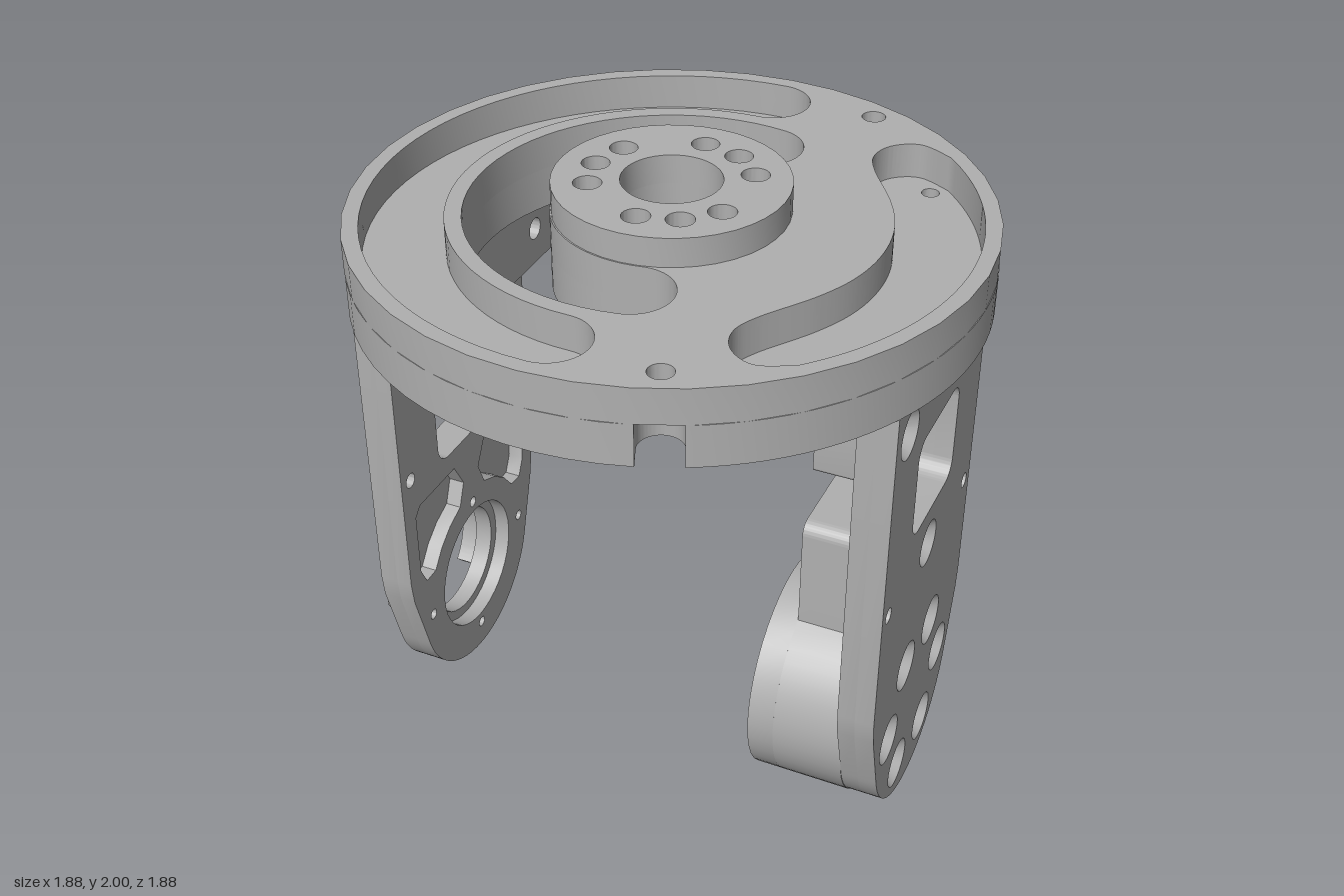
import * as THREE from 'three';
import { toCreasedNormals } from 'three/addons/utils/BufferGeometryUtils.js';

const grey = new THREE.MeshStandardMaterial({ color: 0xb0b0b0, side: THREE.DoubleSide });
grey.name = 'machined grey';
const PI = Math.PI;
const AXLE = 0.36; // height of the swivel axis

const V = (x, y) => new THREE.Vector2(x, y);
const circle = (x, y, r) => new THREE.Path().absarc(x, y, r, 0, PI * 2, false);
const shapeOf = (path) => new THREE.Shape(path.getPoints(20));
const ring = (n, r, cx, cy, start) => Array.from({ length: n }, (_, i) => {
  const a = start + (i * PI * 2) / n;
  return [cx + r * Math.cos(a), cy + r * Math.sin(a)];
});
const drill = (shape, centres, r) => centres.forEach(([x, y]) => shape.holes.push(circle(x, y, r)));

function roundedRect(x0, y0, x1, y1, r) {
  const p = new THREE.Path();
  p.absarc(x1 - r, y1 - r, r, 0, PI / 2, false);
  p.absarc(x0 + r, y1 - r, r, PI / 2, PI, false);
  p.absarc(x0 + r, y0 + r, r, PI, PI * 1.5, false);
  p.absarc(x1 - r, y0 + r, r, PI * 1.5, PI * 2, false);
  return p.closePath();
}

// Curved slot with round ends, open towards +x by the angle a either side
function arcSlot(r0, r1, a) {
  const m = (r0 + r1) / 2, c = (r1 - r0) / 2, e = PI * 2 - a;
  const p = new THREE.Path();
  p.absarc(0, 0, r1, a, e, false);
  p.absarc(m * Math.cos(e), m * Math.sin(e), c, e, e + PI, false);
  p.absarc(0, 0, r0, e, a, true);
  p.absarc(m * Math.cos(a), m * Math.sin(a), c, a + PI, a + PI * 2, false);
  return p.closePath();
}

function extrude(shape, depth) {
  return new THREE.ExtrudeGeometry(shape, { depth, bevelEnabled: false, curveSegments: 20 });
}
function add(group, name, geometry) {
  const mesh = new THREE.Mesh(toCreasedNormals(geometry, 0.5), grey);
  mesh.name = name;
  group.add(mesh);
}
// Horizontal layer between two heights
const layer = (g, name, shape, y0, y1) =>
  add(g, name, extrude(shape, y1 - y0).rotateX(-PI / 2).translate(0, y0, 0));
// Upright slab between two x positions
const slab = (g, name, shape, x0, x1) =>
  add(g, name, extrude(shape, x1 - x0).rotateY(PI / 2).translate(x0, 0, 0));

// Disc outline with two round-ended notches in the rim
function notchedDisc() {
  const R = 0.94, w = 0.065, a = 1.178, d = Math.asin(w / R);
  const p = new THREE.Path();
  const notch = (t) => p.absarc(0.86 * Math.cos(t), 0.86 * Math.sin(t), w, t - PI / 2, t - PI * 1.5, true);
  p.absarc(0, 0, R, -a + d, a - d, false);
  notch(a);
  p.absarc(0, 0, R, a + d, PI * 2 - a - d, false);
  notch(-a);
  return shapeOf(p.closePath());
}

function kidney() {
  const p = new THREE.Path();
  p.absarc(0, 0, 0.89, -0.78, 0.78, false);
  const half = [[0.53, 0.67], [0.45, 0.63], [0.42, 0.55], [0.45, 0.46], [0.56, 0.29], [0.62, 0.15]];
  const back = half.slice().reverse().map(([x, y]) => [x, -y]);
  p.splineThru([...half, [0.64, 0], ...back, [0.633, -0.626]].map(([x, y]) => V(x, y)));
  return p;
}

function buildTurntable() {
  const g = new THREE.Group();
  g.name = 'turntable';
  const six = ring(6, 0.24, 0, 0, PI / 6), three = ring(3, 0.24, 0, 0, PI / 3);
  const slot = arcSlot(0.35, 0.6, 1.38);

  const lower = notchedDisc();
  lower.holes.push(slot);
  drill(lower, six, 0.065);
  drill(lower, [[0, 0]], 0.035);
  drill(lower, [[0.59, 0.59], [0.59, -0.59]], 0.027);
  layer(g, 'discBase', lower, 1.67, 1.8);

  const upper = shapeOf(circle(0, 0, 0.94));
  upper.holes.push(slot, arcSlot(0.65, 0.89, PI / 2), kidney());
  drill(upper, six, 0.042);
  drill(upper, [[0, 0]], 0.148);
  drill(upper, [[0.33, 0.795], [0.33, -0.795]], 0.037);
  layer(g, 'discTop', upper, 1.8, 1.91);

  const hub = shapeOf(circle(0, 0, 0.346));
  drill(hub, [...six, ...three], 0.042);
  drill(hub, [[0, 0]], 0.148);
  layer(g, 'hub', hub, 1.91, 2);

  const boss = shapeOf(circle(0, 0, 0.118));
  drill(boss, [[0, 0]], 0.06);
  layer(g, 'lowerBoss', boss, 1.61, 1.67);
  return g;
}

function plateOutline() {
  const p = new THREE.Path();
  p.moveTo(0.415, 1.67);
  p.lineTo(-0.415, 1.67);
  p.lineTo(-0.415, 0.57);
  p.lineTo(-0.405, 0.49);
  p.absarc(0, AXLE, 0.352, PI + 0.27, PI * 2 - 0.27, false);
  p.lineTo(0.405, 0.49);
  p.lineTo(0.415, 0.57);
  return shapeOf(p.closePath());
}

// Cone wall of a countersunk screw hole
function countersinks(g, centres, R, r, xOut, xIn) {
  for (const [z, y] of centres) {
    const cone = new THREE.LatheGeometry([V(R, xOut), V(r, xIn)], 24).rotateZ(-PI / 2);
    add(g, 'countersink', cone.translate(0, y, z));
  }
}

const topScrews = [[0.3, 1.55], [-0.3, 1.55]];
const pins = [[0.36, 0.955], [-0.36, 0.955]];

function mountBlock(g, x0, x1) {
  const block = shapeOf(roundedRect(-0.41, 1.43, 0.41, 1.67, 0.012));
  drill(block, topScrews, 0.036);
  slab(g, 'mountBlock', block, x0, x1);
}

function buildDriveArm() {
  const g = new THREE.Group();
  g.name = 'driveArm';
  const six = ring(6, 0.24, 0, AXLE, 0), three = ring(3, 0.24, 0, AXLE, PI / 2);
  const neckScrew = [[0, 0.962]];
  const window = roundedRect(-0.187, 1.1, 0.187, 1.435, 0.06);

  // Plate in two layers, screw heads sunk into the outer one
  [[0.785, 0.845, 0.082, 0.075], [0.73, 0.785, 0.042, 0.036]].forEach(([x0, x1, rSix, r]) => {
    const s = plateOutline();
    s.holes.push(window);
    drill(s, six, rSix);
    drill(s, [...topScrews, ...neckScrew], r);
    drill(s, pins, 0.025);
    slab(g, 'drivePlate', s, x0, x1);
  });
  countersinks(g, six, 0.082, 0.042, 0.845, 0.785);
  countersinks(g, [...topScrews, ...neckScrew], 0.075, 0.036, 0.845, 0.785);
  mountBlock(g, 0.61, 0.73);

  // Round housing whose back half grows a neck
  const a = Math.acos(0.17 / 0.355);
  const p = new THREE.Path();
  p.absarc(0, AXLE, 0.355, PI - a, PI * 2 + a, false);
  p.absarc(0.13, 1.0, 0.04, 0, PI / 2, false);
  p.absarc(-0.13, 1.0, 0.04, PI / 2, PI, false);
  const back = shapeOf(p.closePath());
  drill(back, [...six, ...neckScrew], 0.04);
  drill(back, [[0, AXLE]], 0.13);
  slab(g, 'housingBack', back, 0.505, 0.73);
  const face = shapeOf(circle(0, AXLE, 0.355));
  drill(face, [...six, ...three], 0.04);
  drill(face, [[0, AXLE]], 0.13);
  slab(g, 'housingFace', face, 0.42, 0.505);
  return g;
}

function buildIdlerArm() {
  const g = new THREE.Group();
  g.name = 'idlerArm';
  const window = roundedRect(-0.187, 0.9, 0.187, 1.44, 0.06);
  const small = [[0, AXLE + 0.265], [0, AXLE - 0.265], [0.3, AXLE], [-0.3, AXLE]];

  // Outer skin carries the screw heads, inner one the bearing seat and pockets
  [[-0.85, -0.79, 0.075, 0.19], [-0.79, -0.738, 0.036, 0.225]].forEach(([x0, x1, r, bore], inner) => {
    const s = plateOutline();
    s.holes.push(window);
    drill(s, topScrews, r);
    drill(s, pins, 0.025);
    drill(s, small, 0.018);
    drill(s, [[0, AXLE]], bore);
    if (inner) for (const m of [1, -1]) {
      const arc = [0.55, 0.8, 1.05, 1.3].map((t) => [0.31 * Math.cos(t), AXLE + 0.31 * Math.sin(t)]);
      const pts = [...arc, [0.05, 0.74], [0.1, 0.83], [0.32, 0.83], [0.35, 0.8], [0.35, 0.58], [0.32, 0.52]];
      s.holes.push(new THREE.Path(pts.map(([z, y]) => V(m * z, y))));
    }
    slab(g, 'idlerPlate', s, x0, x1);
  });
  countersinks(g, topScrews, 0.075, 0.036, -0.85, -0.79);
  mountBlock(g, -0.738, -0.615);

  // Curved bearing clips with an ear on the outer face
  for (const m of [0, PI]) {
    const p = new THREE.Path();
    p.absarc(0, AXLE, 0.25, m - 0.785, m - 0.2, false);
    p.absarc(Math.cos(m) * 0.275, AXLE, 0.036, m - PI / 2, m + PI / 2, false);
    p.absarc(0, AXLE, 0.25, m + 0.2, m + 0.785, false);
    p.absarc(0, AXLE, 0.2, m + 0.785, m - 0.785, true);
    slab(g, 'bearingClip', shapeOf(p.closePath()), -0.91, -0.85);
  }
  return g;
}

export function createModel() {
  const model = new THREE.Group();
  model.name = 'swivelFork';
  model.add(buildTurntable(), buildDriveArm(), buildIdlerArm());
  return model;
}
